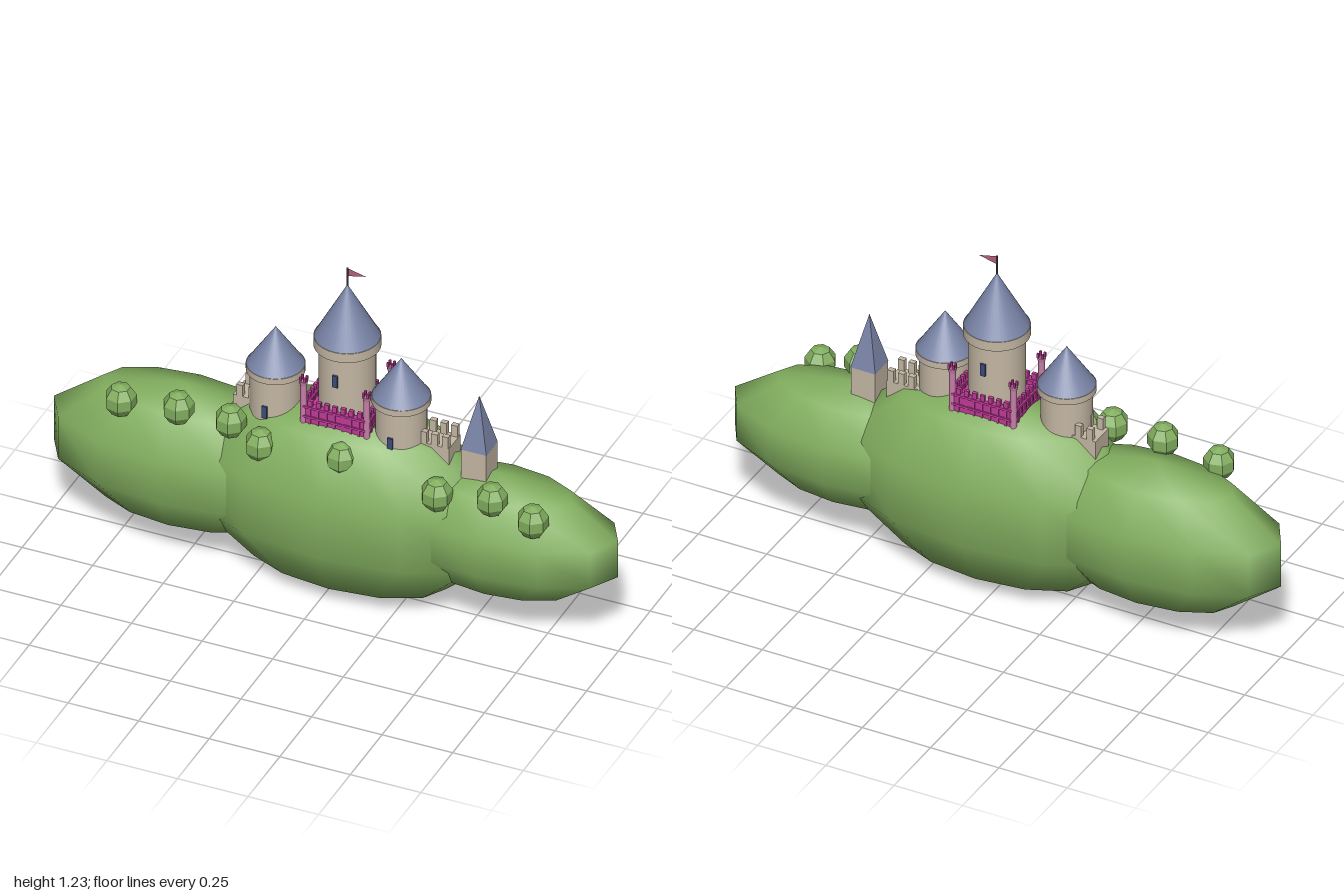
import * as THREE from 'three';

const mat = (name, color) => {
  const m = new THREE.MeshStandardMaterial({ color });
  m.name = name;
  return m;
};

export function createModel() {
  const grass = mat('grass', 0x82ae5f);
  const stone = mat('stone', 0xc4b7a4);
  const roof = mat('slate roof', 0x7984a6);
  const magenta = mat('magenta wall', 0xc03a98);
  const rose = mat('rose turret', 0xc77fa8);
  const glass = mat('window', 0x3c4c78);
  const flagRed = mat('flag', 0xb4607a);
  flagRed.side = THREE.DoubleSide;
  const iron = mat('flag pole', 0x5a5060);

  const model = new THREE.Group();
  model.name = 'castleOnHills';

  const add = (parent, name, geo, material, x, y, z) => {
    const mesh = new THREE.Mesh(geo, material);
    mesh.name = name;
    mesh.position.set(x, y, z);
    parent.add(mesh);
    return mesh;
  };
  const box = (parent, name, material, x, y, z, w, h, d) =>
    add(parent, name, new THREE.BoxGeometry(w, h, d), material, x, y, z);
  const faceted = (geo) => {
    const g = geo.toNonIndexed();
    g.computeVertexNormals();
    return g;
  };
  const group = (name, x = 0, y = 0, z = 0) => {
    const g = new THREE.Group();
    g.name = name;
    g.position.set(x, y, z);
    model.add(g);
    return g;
  };

  // Three overlapping smooth hills: x, y, radii
  const hills = group('hills');
  for (const [name, x, y, rx, ry, rz] of [
    ['middleHill', 0.04, 0.36, 0.587, 0.356, 0.256],
    ['rightHill', -0.538, 0.36, 0.486, 0.265, 0.218],
    ['leftHill', 0.578, 0.362, 0.443, 0.222, 0.2],
  ]) add(hills, name, new THREE.SphereGeometry(1, 12, 5), grass, x, y, 0).scale.set(rx, ry, rz);

  // Faceted bushes along the front slope
  const bushes = group('bushes');
  const bushGeo = faceted(new THREE.SphereGeometry(1, 7, 5));
  for (const [x, y, z] of [
    [-0.705, 0.592, 0.13], [-0.5, 0.618, 0.13], [-0.315, 0.618, 0.13], [-0.2, 0.57, 0.15],
    [0.085, 0.595, 0.145], [0.415, 0.535, 0.13], [0.61, 0.57, 0.13], [0.755, 0.525, 0.13],
  ]) add(bushes, 'bush', bushGeo, grass, x, y, z).scale.set(0.055, 0.06, 0.055);

  // Round tower: shaft, overhanging collar, cone roof and slit windows
  function roundTower(name, x, z, o) {
    const t = group(name, x, 0, z);
    const h = o.collarBottom - o.bottom;
    add(t, 'shaft', new THREE.CylinderGeometry(o.r, o.r, h, 32), stone, 0, o.bottom + h / 2, 0);
    const ch = o.eaves - o.collarBottom;
    add(t, 'collar', new THREE.CylinderGeometry(o.collarR, o.collarR, ch, 32), stone, 0, o.collarBottom + ch / 2, 0);
    const rh = o.apex - o.eaves;
    add(t, 'coneRoof', new THREE.ConeGeometry(o.collarR - 0.002, rh, 32), roof, 0, o.eaves + rh / 2, 0);
    for (const s of o.windowSides) {
      box(t, 'window', glass, 0, o.windowY, s * (o.r + 0.002), 0.018, 0.045, 0.009);
    }
    return t;
  }
  const keepTower = roundTower('keepTower', 0.04, 0, {
    r: 0.094, collarR: 0.11, bottom: 0.6, collarBottom: 0.937, eaves: 0.972, apex: 1.17,
    windowY: 0.85, windowSides: [1, -1],
  });
  for (const [name, x] of [['rightTower', -0.205], ['leftTower', 0.24]]) {
    roundTower(name, x, 0.02, {
      r: 0.085, collarR: 0.097, bottom: 0.5, collarBottom: 0.785, eaves: 0.808, apex: 0.95,
      windowY: 0.668, windowSides: [1],
    });
  }

  // Flag on the keep tower
  add(keepTower, 'flagPole', new THREE.CylinderGeometry(0.003, 0.003, 0.08, 8), iron, 0, 1.195, 0);
  const pennant = new THREE.Shape();
  pennant.moveTo(0, -0.015);
  pennant.lineTo(0.064, 0);
  pennant.lineTo(0, 0.015);
  add(keepTower, 'pennant', new THREE.ShapeGeometry(pennant), flagRed, 0.002, 1.218, 0);

  // Magenta walls around the keep, with ledges, pilasters and merlons
  const court = group('keepWalls', 0.04, 0, 0);
  const hw = 0.112, hd = 0.096;
  for (const s of [1, -1]) {
    box(court, 'longWall', magenta, 0, 0.67, s * hd, hw * 2, 0.12, 0.012);
    box(court, 'sideWall', magenta, s * hw, 0.67, 0, 0.012, 0.12, hd * 2);
    for (const y of [0.69, 0.727]) {
      box(court, 'longLedge', magenta, 0, y, s * hd, hw * 2, 0.008, 0.022);
      box(court, 'sideLedge', magenta, s * hw, y, 0, 0.022, 0.008, hd * 2);
    }
    for (let i = -3; i <= 3; i++) {
      box(court, 'merlon', magenta, i * 0.029, 0.741, s * hd, 0.016, 0.022, 0.012);
      box(court, 'pilaster', magenta, i * 0.029, 0.665, s * hd, 0.007, 0.12, 0.018);
      box(court, 'merlon', magenta, s * hw, 0.741, i * 0.025, 0.012, 0.022, 0.014);
      box(court, 'pilaster', magenta, s * hw, 0.665, i * 0.025, 0.018, 0.12, 0.007);
    }
  }
  box(court, 'courtFloor', magenta, 0, 0.66, 0, hw * 2, 0.09, hd * 2);

  // Slim corner turrets
  for (const sx of [1, -1]) for (const sz of [1, -1]) {
    const x = sx * hw, z = sz * hd;
    add(court, 'turretShaft', new THREE.CylinderGeometry(0.011, 0.011, 0.2, 12), rose, x, 0.71, z);
    add(court, 'turretCap', new THREE.CylinderGeometry(0.015, 0.012, 0.016, 12), rose, x, 0.815, z);
    for (const a of [1, -1]) for (const b of [1, -1]) {
      box(court, 'turretMerlon', magenta, x + a * 0.008, 0.83, z + b * 0.008, 0.007, 0.016, 0.007);
    }
  }

  // Low stone curtain walls outside the side towers
  const curtain = group('curtainWalls');
  for (const [x0, x1, merlons] of [
    [-0.345, -0.2, [-0.322, -0.28]],
    [0.24, 0.42, [0.33, 0.368, 0.406]],
  ]) {
    box(curtain, 'curtainWall', stone, (x0 + x1) / 2, 0.575, 0, x1 - x0, 0.17, 0.09);
    for (const x of merlons) for (const s of [1, -1]) {
      box(curtain, 'curtainMerlon', stone, x, 0.68, s * 0.036, 0.022, 0.045, 0.018);
    }
  }

  // Square outlying tower with a steep pyramid roof
  const square = group('squareTower', 0.507, 0, 0);
  box(square, 'squareShaft', stone, 0, 0.585, 0, 0.088, 0.17, 0.088);
  const pyramid = faceted(new THREE.ConeGeometry(0.064, 0.195, 4));
  pyramid.rotateY(Math.PI / 4);
  add(square, 'pyramidRoof', pyramid, roof, 0, 0.7675, 0);

  return model;
}
